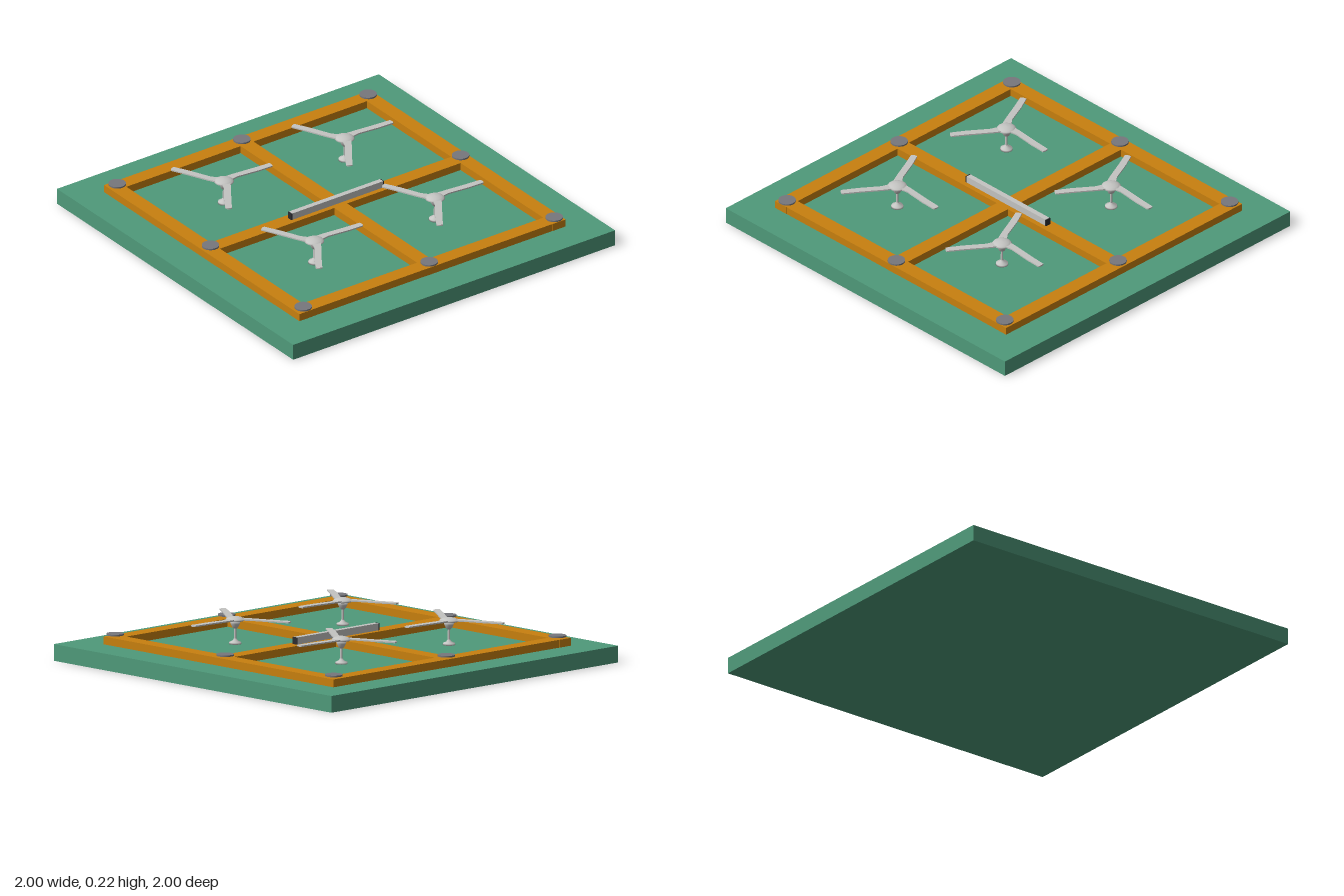
import * as THREE from 'three';

const mat = (name, color) => {
  const m = new THREE.MeshStandardMaterial({ color });
  m.name = name;
  return m;
};

export function createModel() {
  const green = mat('green base', 0x4f9a7a);
  const orange = mat('orange beam', 0xc8800f);
  const grey = mat('mid grey', 0x77777d);
  const light = mat('light grey', 0xc4c4c2);
  const dark = mat('dark grey', 0x2c2c30);

  const root = new THREE.Group();
  root.name = 'turbineBoard';
  const add = (parent, name, geo, material, x = 0, y = 0, z = 0) => {
    const m = new THREE.Mesh(geo, material);
    m.name = name;
    m.position.set(x, y, z);
    parent.add(m);
    return m;
  };

  // Base slab
  add(root, 'base', new THREE.BoxGeometry(2, 0.085, 2), green, 0, 0.0425, 0);

  // Grid of beams: three along z, cross pieces butted between them
  const top = 0.125, h = 0.04, w = 0.08, yBeam = top - h / 2;
  const xs = [-0.79, 0, 0.785];
  const zs = [-0.793, 0, 0.78];
  for (const x of xs) {
    add(root, 'longBeam', new THREE.BoxGeometry(w, h, 1.655), orange, x, yBeam, -0.0065);
  }
  for (const z of zs) {
    for (let i = 0; i < 2; i++) {
      const len = xs[i + 1] - xs[i] - w;
      add(root, 'crossBeam', new THREE.BoxGeometry(len, h, w), orange, (xs[i] + xs[i + 1]) / 2, yBeam, z);
    }
  }

  // Round pads around the outer frame
  const pads = [
    [-0.78, -0.79], [-0.005, -0.79], [0.78, -0.79], [-0.78, 0],
    [0.78, -0.008], [-0.78, 0.785], [0.003, 0.785], [0.78, 0.785],
  ];
  for (const [x, z] of pads) {
    add(root, 'pad', new THREE.CylinderGeometry(0.044, 0.044, 0.008, 24), grey, x, 0.136, z);
  }

  // Central bar with dark ends
  add(root, 'centreBar', new THREE.BoxGeometry(0.566, 0.036, 0.028), light, 0, 0.143, 0);
  for (const s of [-1, 1]) {
    add(root, 'barEnd', new THREE.BoxGeometry(0.006, 0.036, 0.03), dark, s * 0.285, 0.143, 0);
  }

  // Blade outline, lying flat with its tip along +x
  const blade = new THREE.Shape();
  blade.moveTo(0.02, -0.018);
  blade.lineTo(0.08, -0.008);
  blade.lineTo(0.2, -0.021);
  blade.lineTo(0.285, -0.024);
  blade.quadraticCurveTo(0.294, -0.01, 0.287, 0.009);
  blade.lineTo(0.2, 0.015);
  blade.lineTo(0.08, 0.027);
  blade.lineTo(0.02, 0.03);
  const bladeGeo = new THREE.ExtrudeGeometry(blade, { depth: 0.007, bevelEnabled: false, curveSegments: 6 });
  bladeGeo.rotateX(-Math.PI / 2);

  const lathe = (pts) => new THREE.LatheGeometry(pts.map(([r, y]) => new THREE.Vector2(r, y)), 24);
  const footGeo = lathe([[0, 0.085], [0.032, 0.085], [0.03, 0.094], [0.014, 0.101], [0.007, 0.112]]);
  const nacelleGeo = lathe([[0, 0.163], [0.008, 0.164], [0.015, 0.17], [0.023, 0.187], [0.028, 0.203], [0, 0.204]]);
  const hubGeo = lathe([[0, 0.202], [0.044, 0.203], [0.05, 0.207], [0.046, 0.213], [0.035, 0.219], [0.018, 0.224], [0, 0.225]]);
  const mastGeo = new THREE.CylinderGeometry(0.006, 0.007, 0.08, 12);

  // Four turbines, one in each bay
  for (const x of [-0.41, 0.34]) {
    for (const z of [-0.39, 0.375]) {
      const t = new THREE.Group();
      t.name = 'turbine';
      t.position.set(x, 0, z);
      add(t, 'foot', footGeo, light);
      add(t, 'mast', mastGeo, light, 0, 0.127, 0);
      add(t, 'nacelle', nacelleGeo, light);
      add(t, 'hub', hubGeo, light);
      for (let i = 0; i < 3; i++) {
        add(t, 'blade', bladeGeo, light, 0, 0.207, 0).rotation.y = (i * Math.PI * 2) / 3;
      }
      root.add(t);
    }
  }
  return root;
}
